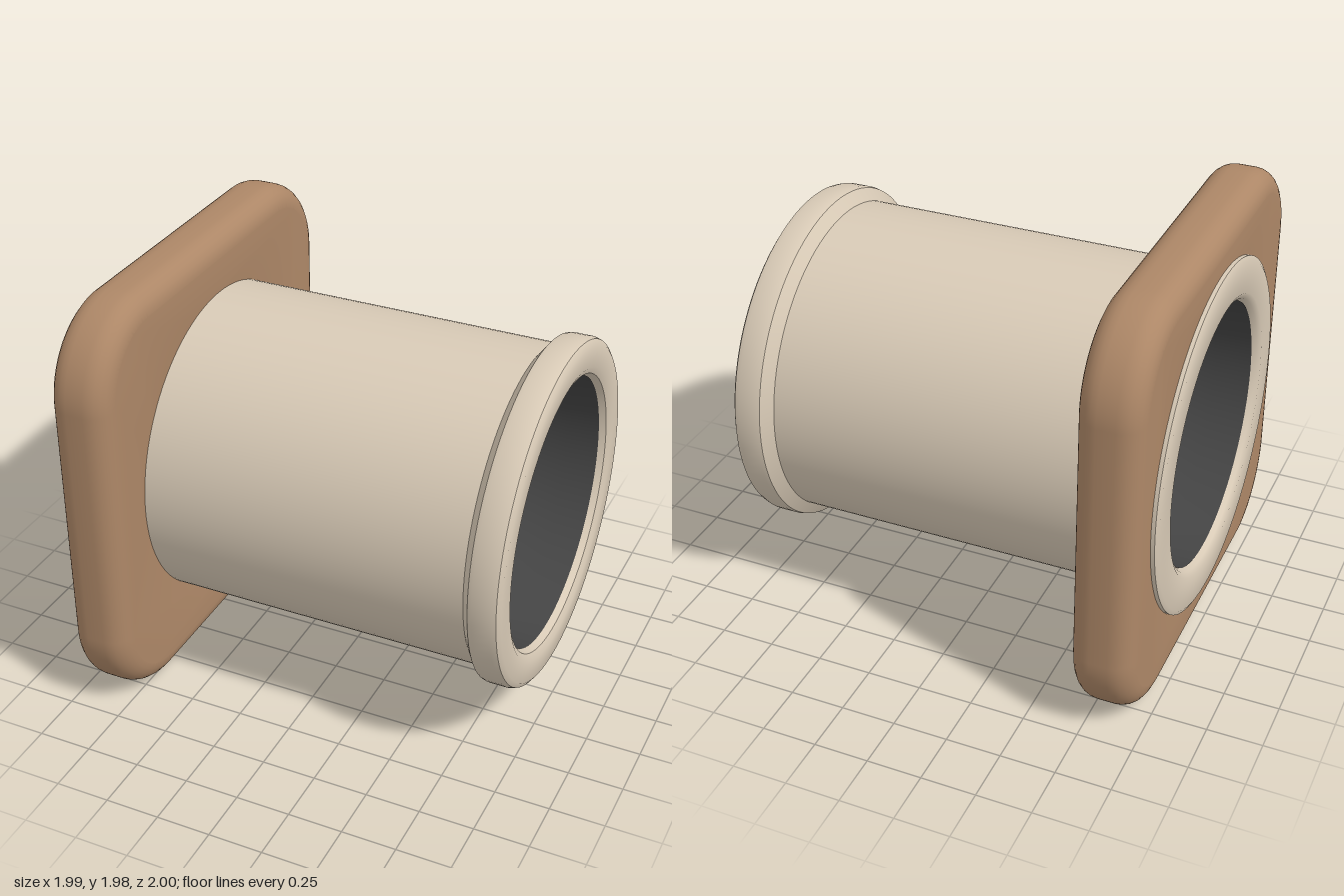
import * as THREE from 'three';
import { toCreasedNormals } from 'three/addons/utils/BufferGeometryUtils.js';

const AXIS_Y = 0.99;

function material(name, color) {
  const m = new THREE.MeshStandardMaterial({ color });
  m.name = name;
  return m;
}

// Turned part around the x axis; profile points are [radius, x]
function turned(name, profile, mat) {
  const pts = profile.map(([r, x]) => new THREE.Vector2(r, x));
  const geo = toCreasedNormals(new THREE.LatheGeometry(pts, 96), 0.6);
  geo.rotateZ(-Math.PI / 2);
  const mesh = new THREE.Mesh(geo, mat);
  mesh.name = name;
  mesh.position.y = AXIS_Y;
  return mesh;
}

function roundedRect(w, h, r) {
  const s = new THREE.Shape();
  const x = w / 2, y = h / 2;
  s.absarc(x - r, y - r, r, 0, Math.PI / 2);
  s.absarc(r - x, y - r, r, Math.PI / 2, Math.PI);
  s.absarc(r - x, r - y, r, Math.PI, Math.PI * 1.5);
  s.absarc(x - r, r - y, r, Math.PI * 1.5, Math.PI * 2);
  s.closePath();
  return s;
}

export function createModel() {
  const group = new THREE.Group();
  group.name = 'flangedPipe';
  const cream = material('cream', 0xd8cab6);
  const brown = material('brown', 0xad8767);
  const dark = material('darkGrey', 0x444444);

  // Square mounting plate with soft edges and a hole for the pipe
  const bevel = 0.1;
  const shape = roundedRect(2 - 2 * bevel, 1.975 - 2 * bevel, 0.31);
  shape.holes.push(new THREE.Path().absarc(0, 0, 0.725, 0, Math.PI * 2, true));
  const plateGeo = new THREE.ExtrudeGeometry(shape, {
    depth: 0.08, bevelThickness: bevel, bevelSize: bevel, bevelSegments: 6, curveSegments: 24,
  });
  plateGeo.translate(0, 0, -0.04);
  plateGeo.rotateY(Math.PI / 2);
  const plate = new THREE.Mesh(toCreasedNormals(plateGeo, 0.6), brown);
  plate.name = 'mountingPlate';
  plate.position.set(-0.832, AXIS_Y, 0);
  group.add(plate);

  // Pipe shell: rear ring, straight body and flared front lip
  group.add(turned('pipeShell', [
    [0.6, -0.96], [0.615, -0.985], [0.64, -1], [0.785, -1], [0.805, -0.99], [0.805, -0.96],
    [0.73, -0.96], [0.73, 0.81], [0.785, 0.85], [0.79, 0.87], [0.79, 0.95],
    [0.782, 0.975], [0.76, 0.99], [0.66, 0.99], [0.63, 0.975], [0.615, 0.94],
  ], cream));

  // Dark recesses at both ends
  group.add(turned('frontBore', [
    [0.615, 0.945], [0.6, 0.8], [0.55, 0.48], [0.5, 0.38], [0.41, 0.32], [0, 0.32],
  ], dark));
  group.add(turned('rearBore', [
    [0, -0.33], [0.41, -0.33], [0.5, -0.39], [0.55, -0.49], [0.59, -0.8], [0.6, -0.965],
  ], dark));

  return group;
}
